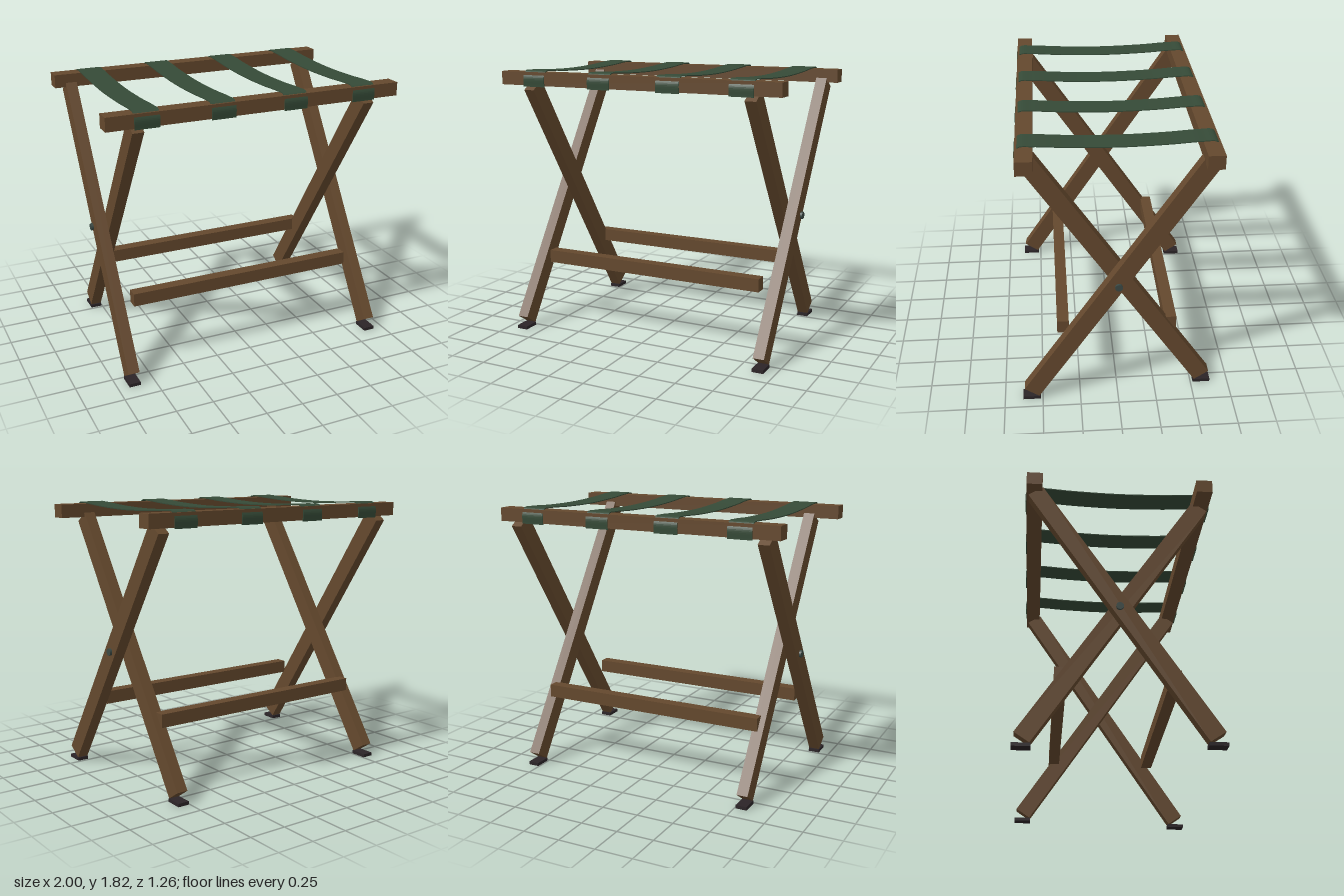
import * as THREE from 'three';

const material = (name, color) => {
  const m = new THREE.MeshStandardMaterial({ color });
  m.name = name;
  return m;
};

export function createModel() {
  const wood = material('brown wood', 0x64482d);
  const webbing = material('green webbing', 0x354a37);
  const rubber = material('dark rubber', 0x2b2427);
  const metal = material('dark metal', 0x3a4843);

  const model = new THREE.Group();
  model.name = 'foldingRack';

  const add = (name, geometry, mat, x, y, z) => {
    const mesh = new THREE.Mesh(geometry, mat);
    mesh.name = name;
    mesh.position.set(x, y, z);
    model.add(mesh);
    return mesh;
  };

  // Crossed legs: s is the side of x, f the side of z where the foot stands
  const legBox = new THREE.BoxGeometry(0.075, 2.0, 0.114);
  const footBox = new THREE.BoxGeometry(0.076, 0.022, 0.115);
  const foot = [0.055, 0.571], top = [1.718, -0.542];
  const tilt = Math.atan2(top[1] - foot[1], top[0] - foot[0]);
  for (const s of [-1, 1]) {
    for (const f of [-1, 1]) {
      const x = s * (f > 0 ? 0.889 : 0.795);
      const leg = add(f > 0 ? 'outerLeg' : 'innerLeg', legBox, wood,
        x, (foot[0] + top[0]) / 2, f * (foot[1] + top[1]) / 2);
      leg.rotation.x = f * tilt;
      add('footPad', footBox, rubber, x, 0.011, f * 0.573);
    }
    // Pivot bolt head
    const bolt = add('pivotBolt', new THREE.CylinderGeometry(0.024, 0.024, 0.015, 20),
      metal, s * 0.942, 0.884, 0);
    bolt.rotation.z = Math.PI / 2;
  }

  // Top rails and lower stretchers
  const railBox = new THREE.BoxGeometry(2, 0.089, 0.103);
  const stretcherBox = new THREE.BoxGeometry(1.59, 0.088, 0.077);
  for (const f of [-1, 1]) {
    add('topRail', railBox, wood, 0, 1.763, f * 0.551);
    add('stretcher', stretcherBox, wood, 0, 0.486, f * 0.352);
  }

  // Sagging strap, wrapped down the outer face of both rails
  const half = [[0.607, 1.711], [0.607, 1.775], [0.58, 1.815], [0.5, 1.818], [0.3, 1.806]];
  const points = [...half, [0, 1.798], ...half.map(([z, y]) => [-z, y]).reverse()];
  const curve = new THREE.CatmullRomCurve3(points.map(([z, y]) => new THREE.Vector3(z, y, 0)));
  const outer = [], inner = [];
  const n = 64, thickness = 0.006;
  for (let i = 0; i <= n; i++) {
    const p = curve.getPoint(i / n), t = curve.getTangent(i / n);
    outer.push(new THREE.Vector2(p.x, p.y));
    inner.push(new THREE.Vector2(p.x + t.y * -thickness, p.y + t.x * thickness));
  }
  const shape = new THREE.Shape([...outer, ...inner.reverse()]);
  const width = 0.162;
  const strap = new THREE.ExtrudeGeometry(shape, { depth: width, bevelEnabled: false });
  strap.translate(0, 0, -width / 2);
  strap.rotateY(-Math.PI / 2);
  for (const x of [-0.742, -0.2475, 0.2475, 0.742]) add('strap', strap, webbing, x, 0, 0);

  return model;
}
